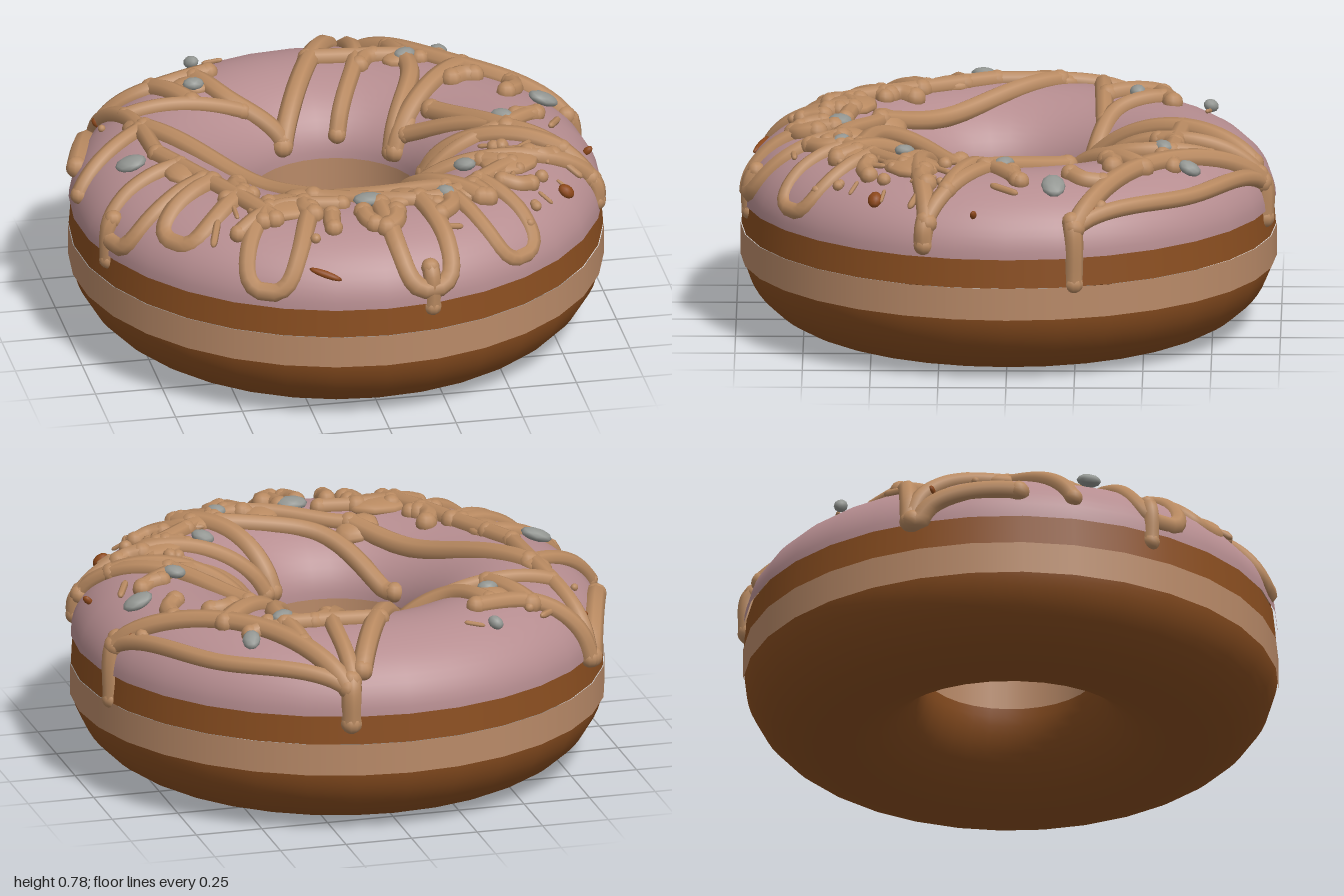
import * as THREE from 'three';

// The ring section is an upper and a lower half ellipse joined by short walls
const MID = 0.65, HALF = 0.331;
const ICING_BASE = 0.478, ICING_RISE = 0.252, BODY_LEVEL = 0.3;

const paint = (name, hex) => {
  const m = new THREE.MeshStandardMaterial({ color: hex });
  m.name = name;
  return m;
};

function icingHeight(r) {
  const t = (r - MID) / HALF;
  return ICING_BASE + ICING_RISE * Math.sqrt(Math.max(0, 1 - t * t));
}

// Points of a half ellipse, counter-clockwise so that the outside faces out
const halfEllipse = (level, rise, start) => Array.from({ length: 29 }, (_, i) => {
  const a = start + Math.PI * i / 28;
  return new THREE.Vector2(MID + HALF * Math.cos(a), level + rise * Math.sin(a));
});

const wall = (r0, y0, r1, y1) => [new THREE.Vector2(r0, y0), new THREE.Vector2(r1, y1)];

// Drizzle strands seen from above: x and z of both ends, then sideways bow
const STRANDS = [
  [-0.8, -0.58, -0.68, 0.05, -0.05], [-0.68, 0.05, -0.36, 0.66, 0], [-0.81, -0.57, -0.93, -0.2, 0],
  [-0.7, -0.17, -0.96, 0, 0], [-0.8, -0.58, -0.36, -0.6, 0.1], [-0.58, -0.56, -0.47, -0.36, 0],
  [-0.72, -0.34, -0.28, -0.35, 0], [-0.42, -0.56, -0.14, -0.31, 0.15], [0.16, -0.9, -0.14, -0.3, 0],
  [0.2, -0.92, 0.07, -0.33, -0.1], [0.02, -0.64, 0.37, -0.6, 0], [0.22, -0.93, 0.92, -0.25, 0.08],
  [0.22, -0.93, 0.92, -0.25, -0.1], [0.34, -0.74, 0.25, -0.21, -0.14], [0.57, -0.5, 0.26, -0.2, 0],
  [0.3, -0.2, 0.9, 0.3, 0], [0.33, 0.02, 0.8, 0.22, 0], [0.4, -0.22, 0.62, 0.08, 0],
  [0.32, 0.13, 0.76, -0.05, 0.1], [0.9, 0.29, 0.2, 0.26, -0.07], [-0.68, -0.18, -0.18, 0.47, 0],
  [-0.18, 0.47, 0.58, 0.38, 0.26], [-0.27, 0.18, 0.3, 0.54, 0.17], [0.17, 0.28, 0.42, 0.62, 0.05],
  [-0.5, 0.68, -0.1, 0.6, -0.15],
];

// Loops hanging over the rim: angle from the front, inner and outer radius
const LOOPS = [[-0.46, 0.66, 0.96], [0.18, 0.64, 0.96], [0.6, 0.66, 0.95], [-1.19, 0.64, 0.96], [-0.9, 0.62, 0.9]];

// Drips down the side: angle from the front, length
const DRIPS = [[0.18, 0.11], [1.83, 0.19], [2.92, 0.12], [-1.25, 0.12], [1.25, 0.05]];

// Broad pools of drizzle: x, z and size
const POOLS = [[-0.32, 0.58, 0.13], [0.58, 0.35, 0.13], [0.13, 0.58, 0.09], [0.4, 0.56, 0.1], [-0.62, 0.22, 0.09],
  [0.36, -0.58, 0.08], [0.3, -0.25, 0.07], [-0.44, -0.5, 0.08], [-0.7, -0.2, 0.07], [-0.2, 0.44, 0.09]];

// Guide points hold the drop below the icing in y
const bowed = ([x0, z0, x1, z1, bow]) => [
  new THREE.Vector3(x0, 0, z0),
  new THREE.Vector3((x0 + x1) / 2 - bow * (z1 - z0), 0, (z0 + z1) / 2 + bow * (x1 - x0)),
  new THREE.Vector3(x1, 0, z1),
];
const polar = (a, r, drop = 0) => new THREE.Vector3(r * Math.sin(a), drop, r * Math.cos(a));

function hangingLoop([angle, inner, outer]) {
  const points = [];
  for (let i = 0; i <= 8; i++) {
    const s = i / 4 - 1;
    points.push(polar(angle + 0.12 * Math.sin(s * 1.57), outer - (outer - inner) * s ** 4, 0.04 * (1 - s * s)));
  }
  return points;
}

const drip = ([angle, length]) => [polar(angle, 0.94), polar(angle, 0.958), polar(angle, 0.962, length)];

// Lays a guide onto the icing
function onIcing(points) {
  return new THREE.CatmullRomCurve3(points, false, 'centripetal').getPoints(18).map(p => {
    p.y = icingHeight(Math.hypot(p.x, p.z)) + 0.006 - p.y;
    return p;
  });
}

export function createModel() {
  const mats = {
    crust: paint('brown crust', 0x8a4e20),
    band: paint('pale band', 0xb98a68),
    icing: paint('pink icing', 0xb68d90),
    drizzle: paint('caramel drizzle', 0xb98a61),
    chip: paint('grey chips', 0x939692),
    nut: paint('nut pieces', 0x8c4719),
  };
  const model = new THREE.Group();
  const add = (name, geometry, material, parent = model) => {
    const mesh = new THREE.Mesh(geometry, material);
    mesh.name = name;
    parent.add(mesh);
    return mesh;
  };
  const group = name => {
    const g = new THREE.Group();
    g.name = name;
    model.add(g);
    return g;
  };
  let seed = 7;
  const random = () => (seed = (seed * 16807) % 2147483647) / 2147483647;

  // Ring body and icing; the pale band covers the top of the lower crust
  const ring = (name, profile, material) => add(name, new THREE.LatheGeometry(profile, 32), material);
  ring('lowerCrust', halfEllipse(BODY_LEVEL, BODY_LEVEL, Math.PI), mats.crust);
  ring('outerBand', wall(0.984, 0.25, 0.984, 0.37), mats.band);
  ring('outerCrust', wall(0.981, 0.37, 0.972, 0.487), mats.crust);
  ring('innerBand', wall(0.319, 0.48, 0.319, 0.3), mats.band);
  ring('icing', halfEllipse(ICING_BASE, ICING_RISE, 0), mats.icing);

  // Small pieces lie flat on the icing
  const ball = new THREE.SphereGeometry(1, 10, 8);
  const pebble = new THREE.IcosahedronGeometry(1, 1);
  const lay = (name, geometry, material, parent, x, z, size, lift) => {
    const mesh = add(name, geometry, material, parent);
    const r = Math.hypot(x, z);
    const slope = (icingHeight(r + 0.01) - icingHeight(r - 0.01)) / 0.02;
    const normal = new THREE.Vector3(-slope * x / r, 1, -slope * z / r).normalize();
    mesh.position.set(x, icingHeight(r), z).addScaledVector(normal, lift);
    mesh.quaternion.setFromUnitVectors(new THREE.Vector3(0, 1, 0), normal);
    mesh.rotateY(x * 9 + z * 5);
    mesh.scale.set(...size);
  };

  // Short side twigs, mostly around the front
  const twigs = Array.from({ length: 18 }, (_, i) => {
    const angle = i < 13 ? -0.9 + i * 0.17 : 1.6 + (i - 13) * 0.3;
    const r = 0.56 + random() * 0.18;
    const turn = (random() - 0.5) * 0.3;
    return [polar(angle, r), polar(angle + turn / 3, r + 0.05), polar(angle + turn, r + 0.08)];
  });

  // Drizzle with rounded ends
  const drizzle = group('drizzle');
  const guides = [...STRANDS.map(bowed), ...LOOPS.map(hangingLoop), ...DRIPS.map(drip), ...twigs];
  guides.forEach((guide, i) => {
    const path = onIcing(guide);
    const radius = 0.033 + 0.003 * (i % 3);
    const curve = new THREE.CatmullRomCurve3(path, false, 'centripetal');
    add('drizzleStrand', new THREE.TubeGeometry(curve, 30, radius, 8), mats.drizzle, drizzle);
    for (const p of [path[0], path[path.length - 1]]) {
      const end = add('drizzleEnd', ball, mats.drizzle, drizzle);
      end.position.copy(p);
      end.scale.setScalar(radius * 1.05);
    }
  });
  for (const [x, z, s] of POOLS) lay('drizzlePool', ball, mats.drizzle, drizzle, x, z, [s, 0.034, s * 0.75], 0);

  // Grey chips
  const toppings = group('toppings');
  for (const [x, z, s] of [[-0.39, -0.73, 0.032], [0.51, -0.66, 0.045], [0.8, -0.17, 0.06], [0.62, 0.01, 0.045],
    [-0.78, 0.1, 0.06], [0.41, 0.38, 0.045], [0, 0.62, 0.06], [0.29, 0.61, 0.04], [-0.44, -0.47, 0.04], [0.37, -0.57, 0.045]])
    lay('greyChip', pebble, mats.chip, toppings, x, z, [s, 0.024, s * 0.75], 0.025);

  // Nut pieces and slivers
  for (const [x, z, s] of [[0.76, 0.48, 0.034], [0.86, -0.31, 0.022], [-0.79, -0.49, 0.016], [0.91, 0.12, 0.014]])
    lay('nutPiece', pebble, mats.nut, toppings, x, z, [s, 0.022, s * 0.8], 0.01);
  lay('nutSliver', pebble, mats.nut, toppings, -0.22, 0.91, [0.065, 0.012, 0.014], 0.002);

  // Crumbs, thickest at the front left
  const stick = new THREE.CapsuleGeometry(0.5, 1.6, 3, 6).rotateZ(Math.PI / 2);
  for (let i = 0; i < 46; i++) {
    const angle = i < 30 ? 0.65 + random() * 0.6 : random() * Math.PI * 2;
    const { x, z } = polar(angle, 0.55 + random() * 0.36);
    const s = 0.014 + random() * 0.014;
    lay('crumb', i % 2 ? pebble : stick, mats.drizzle, toppings, x, z, [i % 2 ? s : s * 1.7, s, s], 0.008);
  }
  return model;
}
